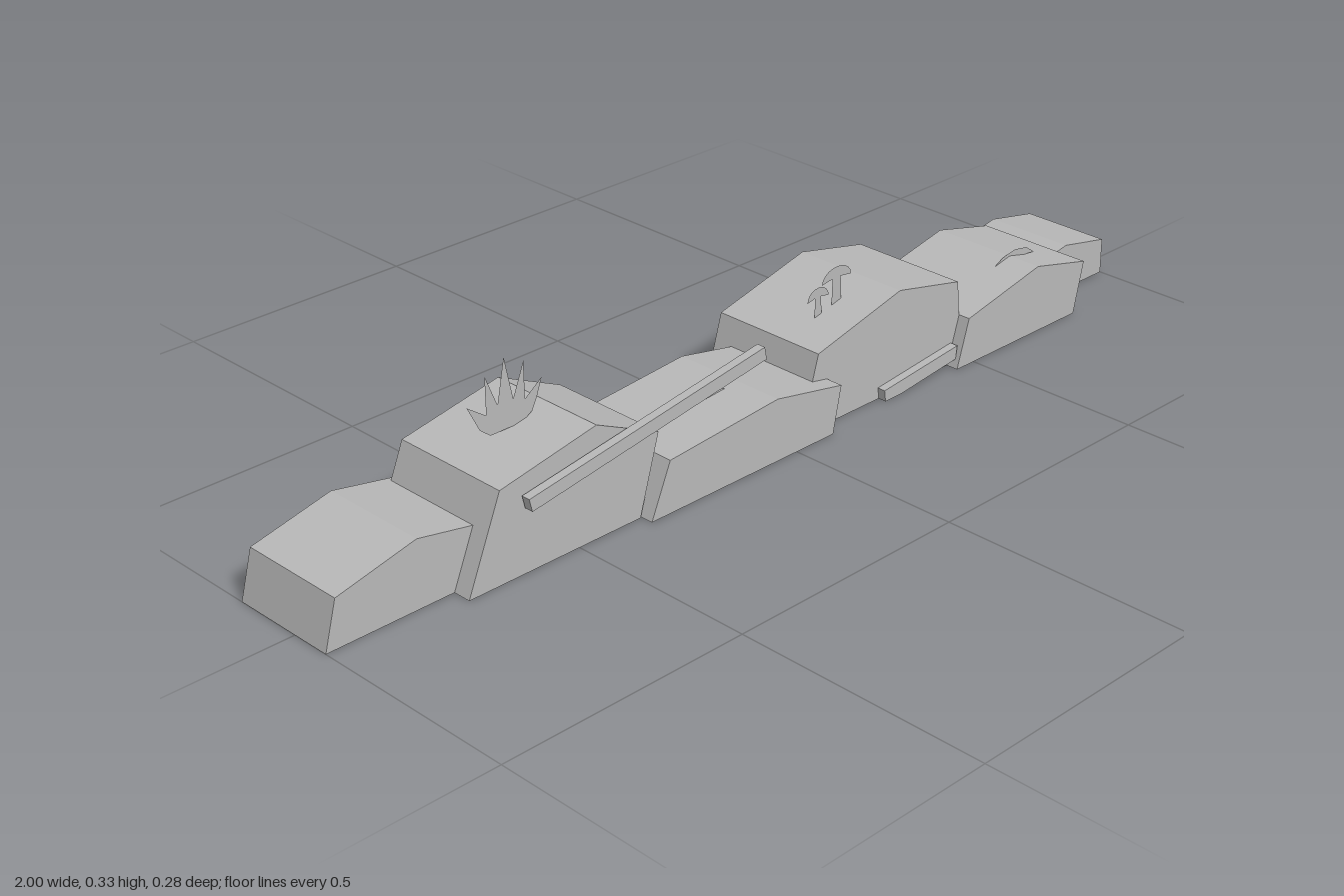
import * as THREE from 'three';

export function createModel() {
  const root = new THREE.Group();
  root.name = 'rockRow';
  const stone = new THREE.MeshStandardMaterial({ color: 0xb8b8b8 });
  stone.name = 'stoneGrey';
  const foliage = stone.clone();
  foliage.name = 'thinGrey';
  foliage.side = THREE.DoubleSide;

  const outline = (pts) => new THREE.Shape(pts.map(([x, y]) => new THREE.Vector2(x, y)));

  function add(name, geometry, material, z) {
    const mesh = new THREE.Mesh(geometry, material);
    mesh.name = name;
    mesh.position.z = z;
    root.add(mesh);
    return mesh;
  }
  const slab = (name, pts, z0, z1) => add(name,
    new THREE.ExtrudeGeometry(outline(pts), { depth: z1 - z0, bevelEnabled: false }), stone, z0);
  const plate = (name, pts, z) => add(name, new THREE.ShapeGeometry(outline(pts)), foliage, z);

  // Rocks: side-by-side faceted profiles pushed through different depths
  const rocks = [
    [[[-1, 0], [-0.975, 0.092], [-0.81, 0.13], [-0.67, 0.103], [-0.68, 0]], -0.142, 0.08],
    [[[-0.74, 0], [-0.667, 0.175], [-0.455, 0.215], [-0.315, 0.15], [-0.36, 0]], -0.132, 0.117],
    [[[-0.357, 0], [-0.312, 0.103], [-0.05, 0.124], [0.115, 0.092], [0.095, 0]], -0.1, 0.142],
    [[[0.047, 0], [0.092, 0.15], [0.31, 0.204], [0.475, 0.168], [0.49, 0]], -0.142, 0.106],
    [[[0.452, 0], [0.482, 0.097], [0.685, 0.14], [0.83, 0.105], [0.805, 0]], -0.119, 0.131],
    [[[0.76, 0], [0.785, 0.08], [0.88, 0.097], [1, 0.073], [1, 0]], -0.142, 0.047],
  ];
  rocks.forEach(([pts, z0, z1], i) => slab('rock' + (i + 1), pts, z0, z1));

  // Long plank leaning across the front, and a short one half sunk in the ground
  slab('longPlank', [[-0.618, 0.125], [-0.624, 0.15], [-0.08, 0.235], [-0.075, 0.21]], 0.121, 0.139);
  slab('shortPlank', [[0.258, 0], [0.255, 0.023], [0.46, 0.045], [0.456, 0.018], [0.3, 0]], 0.105, 0.123);

  // Grass tuft: flat fan of curved blades
  const tuft = [[-0.607, 0.218], [-0.632, 0.268], [-0.592, 0.24], [-0.592, 0.312], [-0.567, 0.25],
    [-0.55, 0.333], [-0.533, 0.25], [-0.508, 0.312], [-0.508, 0.24], [-0.47, 0.268],
    [-0.482, 0.235], [-0.493, 0.213], [-0.515, 0.2], [-0.585, 0.2]];
  plate('grassTuft', tuft, 0);

  // Mushrooms: flat cap on a flat stem
  function mushroom(name, x, foot, capY, halfWidth, height) {
    const pts = [];
    for (let i = 0; i <= 10; i++) {
      const a = Math.PI * (1 - i / 10);
      pts.push([x + halfWidth * Math.cos(a), capY + height * Math.sin(a)]);
    }
    const s = halfWidth * 0.28;
    pts.push([x + s, capY + 0.004], [x + s * 1.2, foot], [x - s * 1.2, foot], [x - s, capY + 0.004]);
    plate(name, pts, 0.025);
  }
  mushroom('largeMushroom', 0.225, 0.178, 0.228, 0.039, 0.026);
  mushroom('smallMushroom', 0.176, 0.168, 0.204, 0.028, 0.023);

  // Moss: low upright crescents on the two flatter rocks
  plate('leftMoss', [[-0.235, 0.11], [-0.225, 0.124], [-0.16, 0.141], [-0.115, 0.133],
    [-0.075, 0.118], [-0.15, 0.112]], 0.043);
  plate('rightMoss', [[0.63, 0.126], [0.665, 0.143], [0.7, 0.149], [0.735, 0.143],
    [0.76, 0.126], [0.7, 0.132]], 0.06);

  return root;
}
